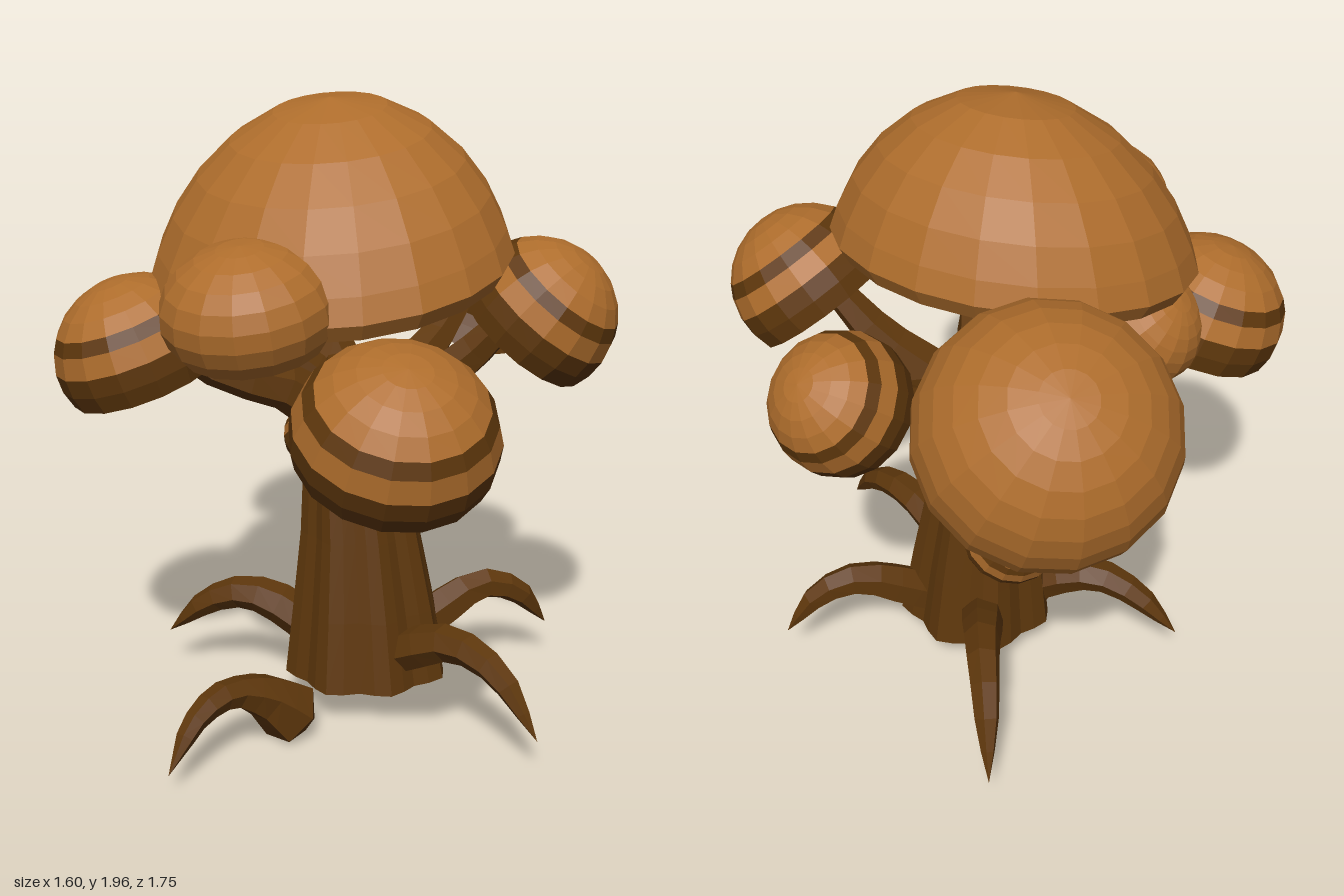
import * as THREE from 'three';

const leaf = new THREE.MeshStandardMaterial({ color: 0xae6d2c, flatShading: true });
leaf.name = 'lightBrown';
const bark = new THREE.MeshStandardMaterial({ color: 0x5e370c, flatShading: true });
bark.name = 'darkBrown';

const V = (p) => new THREE.Vector3(...p);

function add(parent, name, geometry, material) {
  const mesh = new THREE.Mesh(geometry, material);
  mesh.name = name;
  parent.add(mesh);
  return mesh;
}

// Tapered six-sided tube through points; radii are spread evenly along it
function limb(parent, name, points, radii, segments = 8) {
  const curve = new THREE.CatmullRomCurve3(points.map(V));
  const geometry = new THREE.TubeGeometry(curve, segments, 1, 6);
  const pos = geometry.attributes.position;
  const v = new THREE.Vector3();
  for (let i = 0; i < pos.count; i++) {
    const t = Math.floor(i / 7) / segments;
    const k = t * (radii.length - 1);
    const a = Math.min(Math.floor(k), radii.length - 2);
    const r = THREE.MathUtils.lerp(radii[a], radii[a + 1], k - a);
    const c = curve.getPointAt(t);
    v.fromBufferAttribute(pos, i).sub(c).multiplyScalar(r).add(c);
    pos.setXYZ(i, v.x, v.y, v.z);
  }
  return add(parent, name, geometry, bark);
}

// Points on an elliptical dome between two elevations, in degrees
function arc(r, h, from, to, steps) {
  return Array.from({ length: steps + 1 }, (_, i) => {
    const a = THREE.MathUtils.degToRad(from + ((to - from) * i) / steps);
    return new THREE.Vector2(Math.max(0, Math.cos(a) * r), Math.sin(a) * h);
  });
}

// Hollow domed foliage, leaning along an axis
function foliage(parent, { name, at, axis, r, h, striped, low = striped ? -20 : -8, under = bark }) {
  const group = new THREE.Group();
  group.name = name;
  group.position.set(...at);
  group.quaternion.setFromUnitVectors(new THREE.Vector3(0, 1, 0), V(axis).normalize());
  parent.add(group);
  const bands = striped
    ? [['rim', low, 8, 2, bark], ['lowerBand', 8, 24, 1, leaf], ['stripe', 24, 35, 1, bark], ['crown', 35, 90, 4, leaf]]
    : [['crown', low, 90, 8, leaf]];
  for (const [part, from, to, steps, material] of bands) {
    add(group, part, new THREE.LatheGeometry(arc(r, h, from, to, steps), 16), material);
  }
  const edge = arc(r, h, low, 0, 1)[0];
  const inside = arc(edge.x * 0.9, h * 0.5, 90, 0, 4);
  inside.push(edge);
  add(group, 'underside', new THREE.LatheGeometry(inside, 16), under);
}

// Deeply ridged trunk, flared at the foot
function trunk(parent) {
  const levels = [[0.17, 0.27, 0.08], [0.4, 0.235, 0.07], [0.65, 0.195, 0.055], [0.8, 0.175, 0.04], [1.0, 0.185, 0.045], [1.1, 0.185, 0.05], [1.2, 0.11, 0.05]];
  const geometry = new THREE.CylinderGeometry(1, 1, 6, 32, 6);
  const pos = geometry.attributes.position;
  for (let i = 0; i < pos.count; i++) {
    const [y, r, cx] = levels[Math.round(pos.getY(i) + 3)];
    const x = pos.getX(i), z = pos.getZ(i);
    const angle = Math.atan2(x, z);
    const ridge = 0.95 + 0.06 * Math.cos(angle * 8) + 0.025 * Math.cos(angle * 3 + 1);
    pos.setXYZ(i, cx + x * r * ridge, y, -0.065 + z * r * ridge);
  }
  add(parent, 'trunk', geometry, bark);
}

// Main canopy, tipped forward with its peak drawn back
function mainCanopy(parent) {
  const canopy = new THREE.Group();
  canopy.name = 'mainCanopy';
  canopy.position.set(0.01, 1.525, 0.045);
  canopy.rotation.x = 0.19;
  parent.add(canopy);
  const outer = [[0.52, -0.03], [0.55, 0.02], [0.525, 0.09], [0.475, 0.19], [0.4, 0.29], [0.3, 0.38], [0.17, 0.45], [0, 0.48]];
  const inner = [[0, 0.2], [0.25, 0.17], [0.42, 0.08], [0.52, -0.03]];
  for (const [name, list] of [['crown', outer], ['underside', inner]]) {
    const geometry = new THREE.LatheGeometry(list.map((p) => new THREE.Vector2(...p)), 20);
    const pos = geometry.attributes.position;
    for (let i = 0; i < pos.count; i++) pos.setZ(i, pos.getZ(i) * 0.95 - pos.getY(i) * 0.18);
    add(canopy, name, geometry, leaf);
  }
}

export function createModel() {
  const model = new THREE.Group();
  model.name = 'tree';
  trunk(model);
  mainCanopy(model);

  // Arching roots
  const rootRadii = [0.07, 0.07, 0.058, 0.048, 0.036, 0];
  const roots = {
    leftRoot: [[0.18, 0.24, 0], [0.3, 0.31, 0.03], [0.45, 0.37, 0.06], [0.62, 0.33, 0.11], [0.77, 0.17, 0.16]],
    backLeftRoot: [[0.18, 0.24, -0.2], [0.26, 0.31, -0.29], [0.35, 0.37, -0.39], [0.44, 0.33, -0.48], [0.52, 0.19, -0.57]],
    backRightRoot: [[-0.02, 0.26, -0.2], [-0.1, 0.34, -0.33], [-0.19, 0.4, -0.47], [-0.29, 0.35, -0.61], [-0.38, 0.17, -0.74]],
    rightRoot: [[-0.08, 0.26, -0.02], [-0.2, 0.34, 0.01], [-0.32, 0.37, 0.04], [-0.45, 0.32, 0.07], [-0.59, 0.19, 0.1]],
  };
  for (const [name, points] of Object.entries(roots)) limb(model, name, points, rootRadii);
  limb(model, 'frontRoot',
    [[0.01, 0.08, 0.18], [0, 0.105, 0.26], [-0.05, 0.21, 0.37], [-0.1, 0.27, 0.5], [-0.13, 0.24, 0.63], [-0.14, 0.12, 0.77]],
    [0, 0.105, 0.075, 0.05, 0.042, 0.03, 0], 12);

  // Smaller canopies around the trunk
  [
    { name: 'backRightCanopy', at: [-0.435, 1.38, -0.525], axis: [-0.43, 0.8, -0.43], r: 0.365, h: 0.33, under: leaf },
    { name: 'frontCanopy', at: [0, 1.48, 0.5], axis: [0, 0.97, 0.22], r: 0.25, h: 0.19, low: -35, under: leaf },
    { name: 'rightCanopy', at: [-0.38, 1.34, 0.13], axis: [-0.7, 0.72, 0], r: 0.19, h: 0.17 },
    { name: 'frontLeftCanopy', at: [0.5, 1.225, 0.6], axis: [0.3, 0.9, 0.32], r: 0.28, h: 0.235, striped: true },
    { name: 'frontRightCanopy', at: [-0.46, 1.27, 0.385], axis: [-0.25, 0.94, 0.22], r: 0.255, h: 0.235, striped: true },
    { name: 'leftCanopy', at: [0.57, 1.37, -0.23], axis: [0.62, 0.78, -0.1], r: 0.24, h: 0.235, striped: true },
    { name: 'backCanopy', at: [0.19, 1.28, -0.59], axis: [0.15, 0.7, -0.7], r: 0.21, h: 0.205, striped: true },
    { name: 'lowCanopy', at: [-0.235, 0.825, -0.37], axis: [-0.5, 0.75, -0.35], r: 0.15, h: 0.125, striped: true },
  ].forEach((spec) => foliage(model, spec));

  // Branches reaching the canopies
  const branches = {
    frontLeftBranch: [[0.1, 0.98, 0], [0.2, 1.08, 0.14], [0.32, 1.14, 0.35], [0.48, 1.26, 0.56]],
    frontRightBranch: [[0, 1.0, -0.02], [-0.1, 1.13, 0.1], [-0.25, 1.2, 0.24], [-0.43, 1.34, 0.36]],
    rightBranch: [[0, 1.0, -0.04], [-0.1, 1.14, -0.02], [-0.22, 1.26, 0.06], [-0.37, 1.38, 0.12]],
    leftBranch: [[0.1, 1.0, -0.07], [0.22, 1.1, -0.12], [0.36, 1.22, -0.18], [0.52, 1.4, -0.22]],
    backBranch: [[0.07, 1.0, -0.13], [0.1, 1.1, -0.25], [0.14, 1.18, -0.4], [0.18, 1.32, -0.58]],
    backRightBranch: [[0, 1.0, -0.12], [-0.1, 1.13, -0.22], [-0.29, 1.23, -0.37], [-0.44, 1.42, -0.53]],
  };
  for (const [name, points] of Object.entries(branches)) limb(model, name, points, [0.09, 0.075, 0.06, 0.04], 6);
  limb(model, 'lowBranch', [[0, 0.66, -0.15], [-0.1, 0.73, -0.25], [-0.18, 0.76, -0.31], [-0.24, 0.87, -0.36]], [0.05, 0.04, 0.03, 0.02], 6);

  return model;
}
